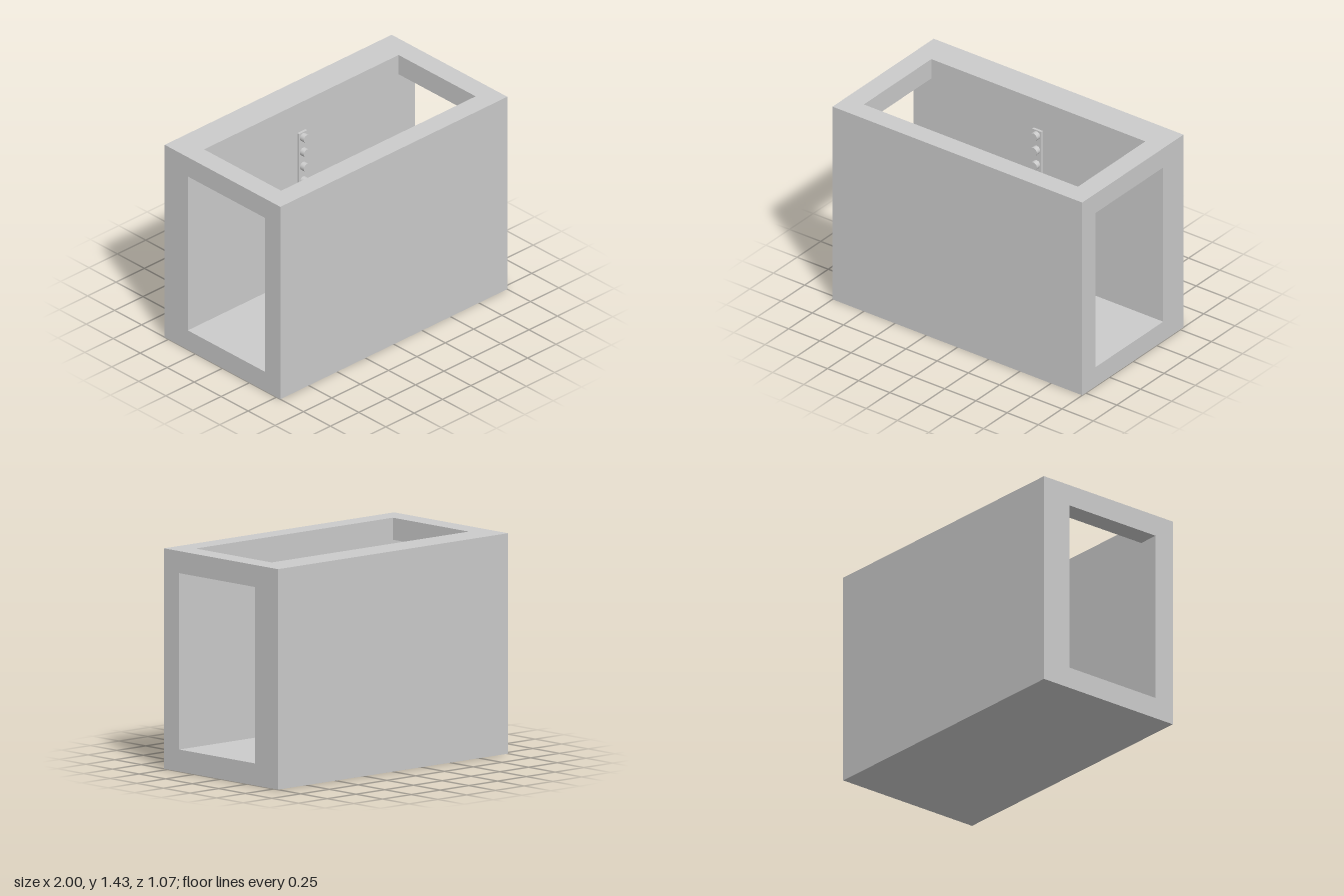
import * as THREE from 'three';

const U = 1 / 14; // module unit: the shell is 28 x 20 x 15 units

export function createModel() {
  const model = new THREE.Group();
  const material = new THREE.MeshStandardMaterial({ color: 0xcccccc });

  const add = (name, geometry, x, y, z, parent = model) => {
    const mesh = new THREE.Mesh(geometry, material);
    mesh.name = name;
    mesh.position.set(x, y, z);
    parent.add(mesh);
    return mesh;
  };
  // Box given by its limits in units
  const block = (name, x0, x1, y0, y1, z0, z1, parent) =>
    add(name, new THREE.BoxGeometry((x1 - x0) * U, (y1 - y0) * U, (z1 - z0) * U),
      (x0 + x1) / 2 * U, (y0 + y1) / 2 * U, (z0 + z1) / 2 * U, parent);

  // Shell: open at both ends and at the top, with a thicker back wall
  const shell = new THREE.Group();
  shell.name = 'shell';
  model.add(shell);
  block('frontWall', -14, 14, 0, 20, 5.5, 7.5, shell);
  block('backWall', -14, 14, 0, 20, -7.5, -4.5, shell);
  block('floor', -14, 14, 0, 2, -4.5, 5.5, shell);
  block('rightTopBridge', -14, -12, 18, 20, -4.5, 5.5, shell);
  block('leftTopBridge', 12, 14, 18, 20, -4.5, 5.5, shell);

  // Control strip on the inside of the back wall
  const controls = new THREE.Group();
  controls.name = 'controlStrip';
  model.add(controls);
  block('backPlate', -0.5, 0.5, 9.25, 17, -4.5, -4.25, controls);

  // Five round buttons in a column
  const button = new THREE.CylinderGeometry(0.4 * U, 0.4 * U, 0.5 * U, 32).rotateX(Math.PI / 2);
  for (let i = 0; i < 5; i++) {
    add('button' + (i + 1), button, 0, (16.5 - 1.5 * i) * U, -4 * U, controls);
  }

  return model;
}
